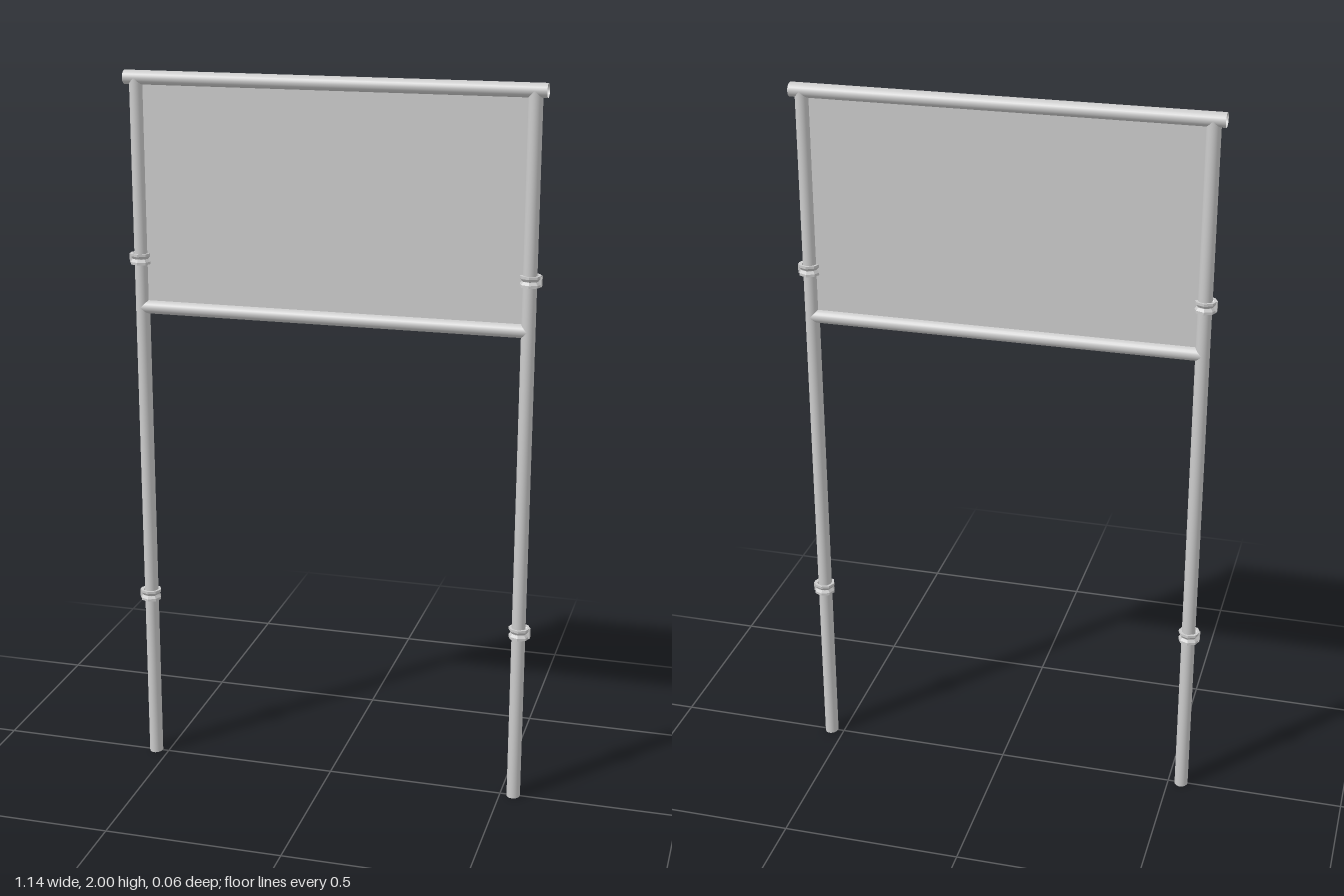
import * as THREE from 'three';

const grey = new THREE.MeshStandardMaterial({ color: 0xcccccc, side: THREE.DoubleSide });
const NARROW = 0.019, DEEP = 0.0225; // half sizes of the oval pipe section
const POST_X = 0.538, TOP_Y = 1.981, RAIL_Y = 1.355;

// Open oval pipe along y, deeper in z than in x
function pipe(length) {
  const g = new THREE.CylinderGeometry(1, 1, length, 24, 1, true);
  g.scale(NARROW, 1, DEEP);
  return g;
}

// How far the pipe surface stands off its own axis at depth z
const saddle = z => NARROW * Math.sqrt(Math.max(0, 1 - (z / DEEP) ** 2));

// Pull the end vertices back so that the pipe fits round a crossing pipe
function cope(g, bothEnds) {
  const p = g.attributes.position;
  for (let i = 0; i < p.count; i++) {
    const y = p.getY(i), cut = saddle(p.getZ(i));
    if (y > 0) p.setY(i, y - cut);
    else if (bothEnds) p.setY(i, y + cut);
  }
  return g;
}

export function createModel() {
  const model = new THREE.Group();
  model.name = 'signFrame';
  const add = (name, geometry, x, y, parent = model) => {
    const mesh = new THREE.Mesh(geometry, grey);
    mesh.name = name;
    mesh.position.set(x, y, 0);
    parent.add(mesh);
    return mesh;
  };

  // Top bar and lower rail
  add('topBar', pipe(1.14).rotateZ(Math.PI / 2), 0, TOP_Y);
  add('lowerRail', cope(pipe(POST_X * 2), true).rotateZ(Math.PI / 2), 0, RAIL_Y);

  // Sign panel
  const low = RAIL_Y + NARROW - 0.002, high = TOP_Y - NARROW + 0.002;
  add('panel', new THREE.BoxGeometry(1.042, high - low, 0.008), 0, (low + high) / 2);

  // Waisted clamp profile: two rims with a groove between them
  const profile = [[0.022, -0.015], [0.03, -0.015], [0.03, -0.008], [0.024, 0],
    [0.03, 0.008], [0.03, 0.015], [0.022, 0.015]].map(([r, y]) => new THREE.Vector2(r, y));
  const clampGeometry = new THREE.LatheGeometry(profile, 8).toNonIndexed();
  clampGeometry.computeVertexNormals();

  for (const side of [-1, 1]) {
    // Posts, coped under the top bar
    add(side > 0 ? 'leftPost' : 'rightPost', cope(pipe(TOP_Y), false), side * POST_X, TOP_Y / 2);
    // Clamps with a small outer lug
    for (const y of [0.5, 1.49]) {
      const clamp = new THREE.Group();
      clamp.name = 'clamp';
      clamp.position.set(side * (POST_X + 0.002), y, 0);
      add('clampRing', clampGeometry, 0, 0, clamp);
      add('clampLug', new THREE.BoxGeometry(0.01, 0.026, 0.016), side * 0.025, 0, clamp);
      model.add(clamp);
    }
  }
  return model;
}
